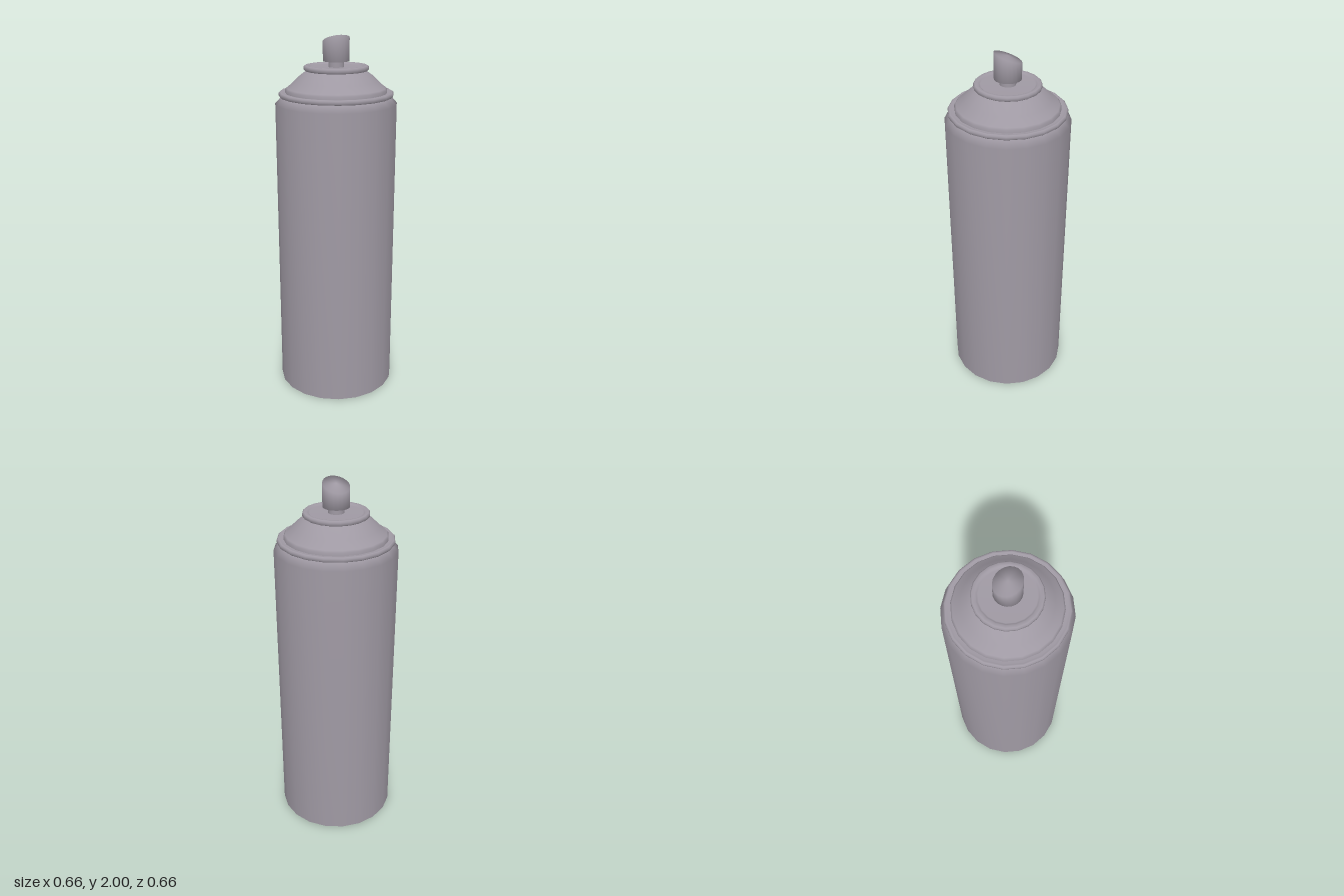
import * as THREE from 'three';
import { mergeVertices } from 'three/addons/utils/BufferGeometryUtils.js';

const SIDES = 20;

export function createModel() {
  const model = new THREE.Group();
  model.name = 'sprayCan';
  const material = new THREE.MeshStandardMaterial({ color: 0x9f99a3 });

  function addMesh(name, geometry) {
    const mesh = new THREE.Mesh(geometry, material);
    mesh.name = name;
    model.add(mesh);
    return mesh;
  }

  // Revolves a profile of [radius, height] points, listed from bottom to top,
  // and shades it smoothly with the larger faces dominating
  function addTurned(name, profile, slope = 0) {
    const points = profile.map(([r, y]) => new THREE.Vector2(r, y));
    const lathe = new THREE.LatheGeometry(points, SIDES);
    lathe.deleteAttribute('normal');
    lathe.deleteAttribute('uv');
    const geometry = mergeVertices(lathe);
    const position = geometry.attributes.position;
    // Tilts the upper end, raising its front edge
    for (let i = 0; i < position.count; i++) {
      const y = position.getY(i);
      if (y > 1.9) position.setY(i, y + position.getZ(i) * slope);
    }
    geometry.computeVertexNormals();
    addMesh(name, geometry);
  }

  // Cylinder with a chamfered shoulder
  addTurned('body', [[0.328, 0], [0.328, 1.638], [0.29, 1.679], [0.25, 1.682]]);

  // Flat underside
  addMesh('base', new THREE.CircleGeometry(0.328, SIDES)).rotation.x = Math.PI / 2;

  // Rolled seam around the shoulder
  addTurned('shoulderRim', [
    [0.27, 1.675], [0.302, 1.675], [0.309, 1.681], [0.309, 1.694], [0.302, 1.701],
    [0.294, 1.701], [0.287, 1.697], [0.26, 1.697],
  ]);

  // Domed cone with a small step at its foot
  addTurned('dome', [
    [0.275, 1.69], [0.274, 1.713], [0.266, 1.722], [0.254, 1.729],
    [0.225, 1.757], [0.195, 1.785], [0.165, 1.806], [0.14, 1.815],
  ]);

  // Valve cup with a rolled edge and a shallow recess
  addTurned('valveCup', [
    [0.13, 1.811], [0.166, 1.811], [0.174, 1.817], [0.174, 1.831], [0.167, 1.838],
    [0.152, 1.838], [0.145, 1.832], [0.138, 1.829], [0, 1.829],
  ]);

  // Thin stem below the button
  addTurned('stem', [[0.042, 1.82], [0.042, 1.865]]);

  // Spray button, its top sloping down towards the back
  addTurned('sprayButton', [[0, 1.86], [0.071, 1.86], [0.071, 1.972], [0, 1.98]], 0.39);

  return model;
}
